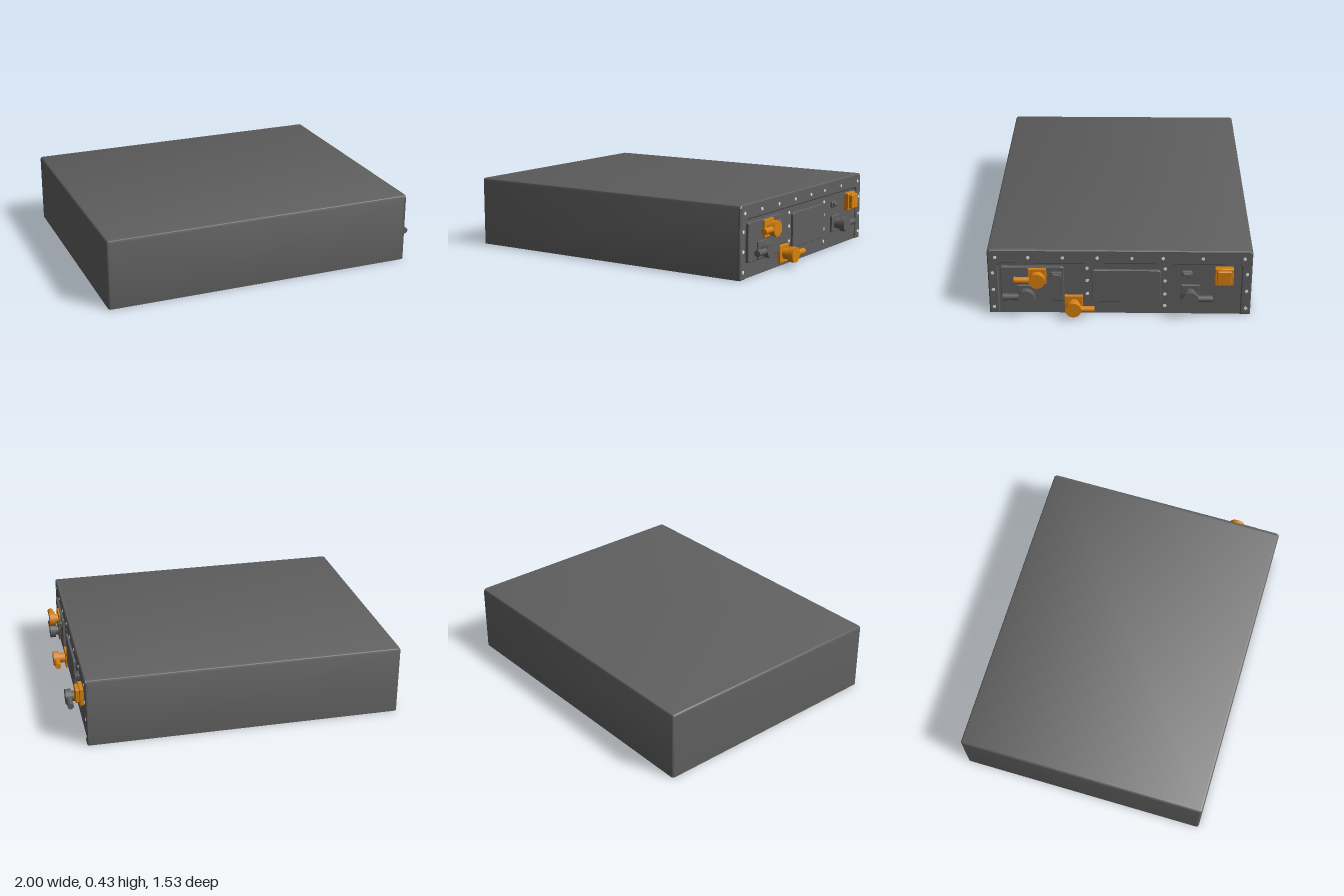
import * as THREE from 'three';
import { toCreasedNormals } from 'three/addons/utils/BufferGeometryUtils.js';
import { RoundedBoxGeometry } from 'three/addons/geometries/RoundedBoxGeometry.js';

const mat = (name, color) => {
  const m = new THREE.MeshStandardMaterial({ color });
  m.name = name;
  return m;
};

export function createModel() {
  const grey = mat('case grey', 0x5f5f5f);
  const orange = mat('connector orange', 0xd6800f);
  const silver = mat('bolt silver', 0xe2e2e2);
  const model = new THREE.Group();
  model.name = 'batteryPack';

  const W = 0.766, H = 0.427, FRONT = 0.915, PANEL = 0.905;

  const add = (parent, name, geo, material, x = 0, y = 0, z = 0) => {
    const mesh = new THREE.Mesh(geo, material);
    mesh.name = name;
    mesh.position.set(x, y, z);
    parent.add(mesh);
    return mesh;
  };

  // Case: rounded block, cut flat at the floor and at the connector panel
  const block = new RoundedBoxGeometry(1.98, H + 0.06, W * 2, 3, 0.016);
  block.translate(-0.01, (H - 0.06) / 2, 0);
  const p = block.attributes.position;
  for (let i = 0; i < p.count; i++) {
    p.setX(i, Math.min(p.getX(i), PANEL));
    p.setY(i, Math.max(p.getY(i), 0));
  }
  add(model, 'case', toCreasedNormals(block, 0.6), grey);

  // Connector end: local x runs along -z of the model, local z points to +x
  const face = new THREE.Group();
  face.name = 'connectorEnd';
  face.rotation.y = Math.PI / 2;
  model.add(face);

  // Raised border, open at the bottom, around the sunken panel
  const border = new THREE.Shape();
  border.moveTo(-W, 0);
  border.lineTo(-W, H - 0.015);
  border.lineTo(-W + 0.015, H);
  border.lineTo(W - 0.015, H);
  border.lineTo(W, H - 0.015);
  border.lineTo(W, 0);
  border.lineTo(0.706, 0);
  border.lineTo(0.706, 0.322);
  border.lineTo(0.691, 0.337);
  border.lineTo(-0.691, 0.337);
  border.lineTo(-0.706, 0.322);
  border.lineTo(-0.706, 0);
  const borderGeo = new THREE.ExtrudeGeometry(border, {
    depth: 0.012, bevelThickness: 0.006, bevelSize: 0.006, bevelOffset: -0.006, bevelSegments: 1,
  });
  add(face, 'border', borderGeo, grey, 0, 0, FRONT - 0.018);

  // Rounded plate centred at (u, y), from depth d0 to d1
  const plate = (parent, name, material, u, y, w, h, r, d0, d1) => {
    const s = new THREE.Shape(), a = w / 2, b = h / 2;
    s.moveTo(-a + r, -b);
    s.lineTo(a - r, -b);
    s.quadraticCurveTo(a, -b, a, -b + r);
    s.lineTo(a, b - r);
    s.quadraticCurveTo(a, b, a - r, b);
    s.lineTo(-a + r, b);
    s.quadraticCurveTo(-a, b, -a, b - r);
    s.lineTo(-a, -b + r);
    s.quadraticCurveTo(-a, -b, -a + r, -b);
    const bevel = 0.003;
    const geo = new THREE.ExtrudeGeometry(s, {
      depth: d1 - d0 - bevel * 2, bevelThickness: bevel, bevelSize: bevel,
      bevelOffset: -bevel, bevelSegments: 1, curveSegments: 4,
    });
    return add(parent, name, geo, material, u, y, d0 + bevel);
  };

  plate(face, 'cover', grey, 0.037, 0.193, 0.4, 0.212, 0.018, 0.897, 0.921);
  plate(face, 'connectorPlate', grey, -0.509, 0.205, 0.368, 0.23, 0.012, 0.897, 0.924);

  // Small signal sockets
  for (const [u, d] of [[-0.37, 0.95], [0.39, 0.93]]) {
    plate(face, 'signalSocket', grey, u, 0.273, 0.064, 0.038, 0.01, 0.9, d - 0.012);
    plate(face, 'signalPlug', grey, u, 0.273, 0.048, 0.024, 0.008, 0.9, d);
  }

  // Angled plug: square flange, neck, round head and cable barrel
  const disc = (r, len) => new THREE.CylinderGeometry(r, r, len, 20).rotateX(Math.PI / 2);
  const plug = (name, material, u, y, flangeU, base, top, end) => {
    const g = new THREE.Group();
    g.name = name;
    face.add(g);
    plate(g, 'flange', material, flangeU, y, 0.108, 0.105, 0.006, 0.9, base);
    add(g, 'neck', disc(0.032, top - 0.9), material, u, y, (top + 0.9) / 2 - 0.003);
    add(g, 'head', disc(0.047, 0.036), material, u, y, top - 0.018);
    const barrel = new THREE.CylinderGeometry(0.019, 0.019, Math.abs(end - u), 16).rotateZ(Math.PI / 2);
    add(g, 'barrel', barrel, material, (u + end) / 2, y, top - 0.019);
  };
  plug('upperPlug', orange, -0.477, 0.262, -0.479, 0.936, 0.992, -0.61);
  plug('lowerPlug', grey, -0.542, 0.148, -0.545, 0.934, 0.989, -0.677);
  plug('middlePlug', orange, -0.27, 0.073, -0.27, 0.924, 1.0, -0.146);
  plug('farPlug', grey, 0.41, 0.148, 0.41, 0.92, 0.997, 0.54);

  // Orange safety socket
  plate(face, 'safetySocketFlange', orange, 0.604, 0.265, 0.108, 0.112, 0.008, 0.9, 0.935);
  plate(face, 'safetySocketCap', orange, 0.604, 0.267, 0.086, 0.092, 0.012, 0.9, 0.957);

  // Bolts on the border and the panel
  const boltGeo = disc(0.01, 0.006);
  const bolt = (u, y, d) => add(face, 'bolt', boltGeo, silver, u, y, d);
  for (const u of [-0.72, -0.53, -0.33, -0.13, 0.07, 0.25, 0.48, 0.72]) bolt(u, 0.378, FRONT);
  for (const y of [0.275, 0.162, 0.045]) for (const s of [-1, 1]) bolt(s * 0.738, y, FRONT);
  for (const y of [0.304, 0.222, 0.132]) for (const u of [-0.19, 0.263]) bolt(u, y, PANEL);
  bolt(0.263, 0.053, PANEL);

  return model;
}
